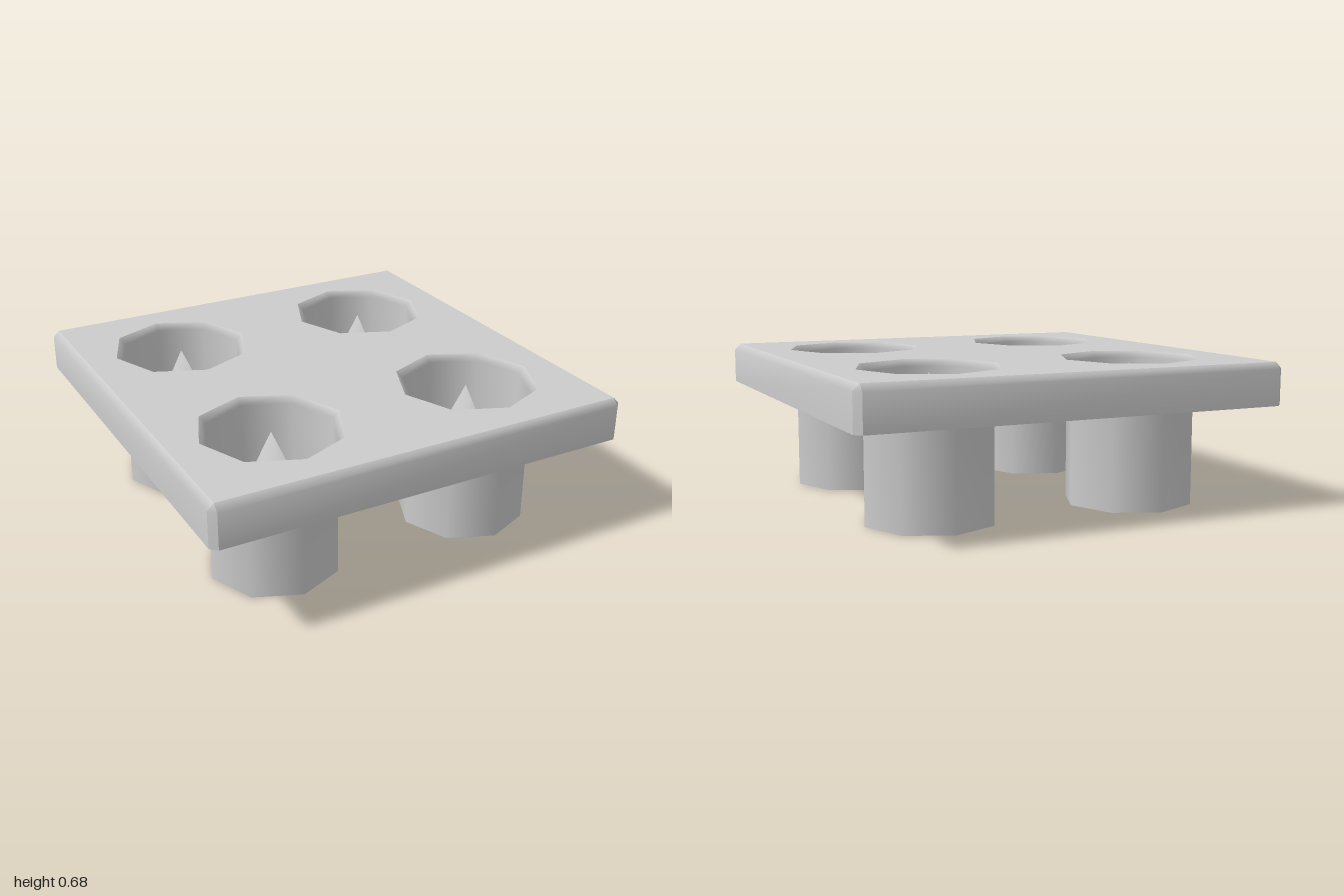
import * as THREE from 'three';
import { mergeVertices } from 'three/addons/utils/BufferGeometryUtils.js';

const TOP = 0.675, BEVEL = 0.03, SKIRT = 0.48, SIDES = 8;

function weld(geometry) {
  geometry.deleteAttribute('normal');
  geometry.deleteAttribute('uv');
  const g = mergeVertices(geometry, 1e-4);
  g.computeVertexNormals();
  return g;
}

// Vertical strip between two columns of points, smooth from wall into bevel
function strip(left, right) {
  const g = new THREE.BufferGeometry();
  const points = [], index = [];
  left.forEach((p, i) => points.push(...p, ...right[i]));
  for (let i = 0; i < left.length - 1; i++) {
    const a = i * 2;
    index.push(a, a + 1, a + 3, a, a + 3, a + 2);
  }
  g.setAttribute('position', new THREE.Float32BufferAttribute(points, 3));
  g.setIndex(index);
  g.computeVertexNormals();
  return g;
}

export function createModel() {
  const model = new THREE.Group();
  const material = new THREE.MeshStandardMaterial({ color: 0xcccccc, side: THREE.DoubleSide });
  const add = (name, geometry, parent = model) => {
    const mesh = new THREE.Mesh(geometry, material);
    mesh.name = name;
    parent.add(mesh);
    return mesh;
  };
  const inner = 1 - BEVEL;
  const centres = [[-0.5, -0.5], [0.5, -0.5], [-0.5, 0.5], [0.5, 0.5]];

  // Thin top sheet with four octagonal openings
  const sheet = new THREE.Shape([[-inner, -inner], [inner, -inner], [inner, inner], [-inner, inner]]
    .map(([x, y]) => new THREE.Vector2(x, y)));
  for (const [x, z] of centres) {
    const rim = [];
    for (let i = 0; i < SIDES; i++) {
      const a = -i * Math.PI * 2 / SIDES;
      rim.push(new THREE.Vector2(x + 0.33 * Math.cos(a), z + 0.33 * Math.sin(a)));
    }
    sheet.holes.push(new THREE.Path(rim));
  }
  add('topSheet', new THREE.ShapeGeometry(sheet).rotateX(-Math.PI / 2).translate(0, TOP, 0));

  // Skirt, open below, with bevelled top edge and chamfered corners
  const column = (x, z, topX, topZ) => [[x, SKIRT, z], [x, TOP - BEVEL, z], [topX, TOP, topZ]];
  const leftEnd = column(-inner, 1, -inner, inner);
  const rightEnd = column(inner, 1, inner, inner);
  const cornerEnd = column(1, inner, inner, inner);
  for (let i = 0; i < 4; i++) {
    add('skirtSide', strip(leftEnd, rightEnd)).rotation.y = i * Math.PI / 2;
    add('skirtCorner', strip(rightEnd, cornerEnd)).rotation.y = i * Math.PI / 2;
  }

  // Cups: open tube with flared lip, and a hollow cone rising from the base
  const tubeProfile = [[0.3, 0], [0.3, TOP - BEVEL], [0.33, TOP]].map(([r, y]) => new THREE.Vector2(r, y));
  const tube = new THREE.LatheGeometry(tubeProfile, SIDES);
  const cone = weld(new THREE.ConeGeometry(0.295, 0.65, SIDES, 1, true).translate(0, 0.325, 0));
  for (const [x, z] of centres) {
    const cup = new THREE.Group();
    cup.name = 'cup';
    cup.position.set(x, 0, z);
    add('cupWall', tube, cup);
    add('cupCone', cone, cup);
    model.add(cup);
  }
  return model;
}
